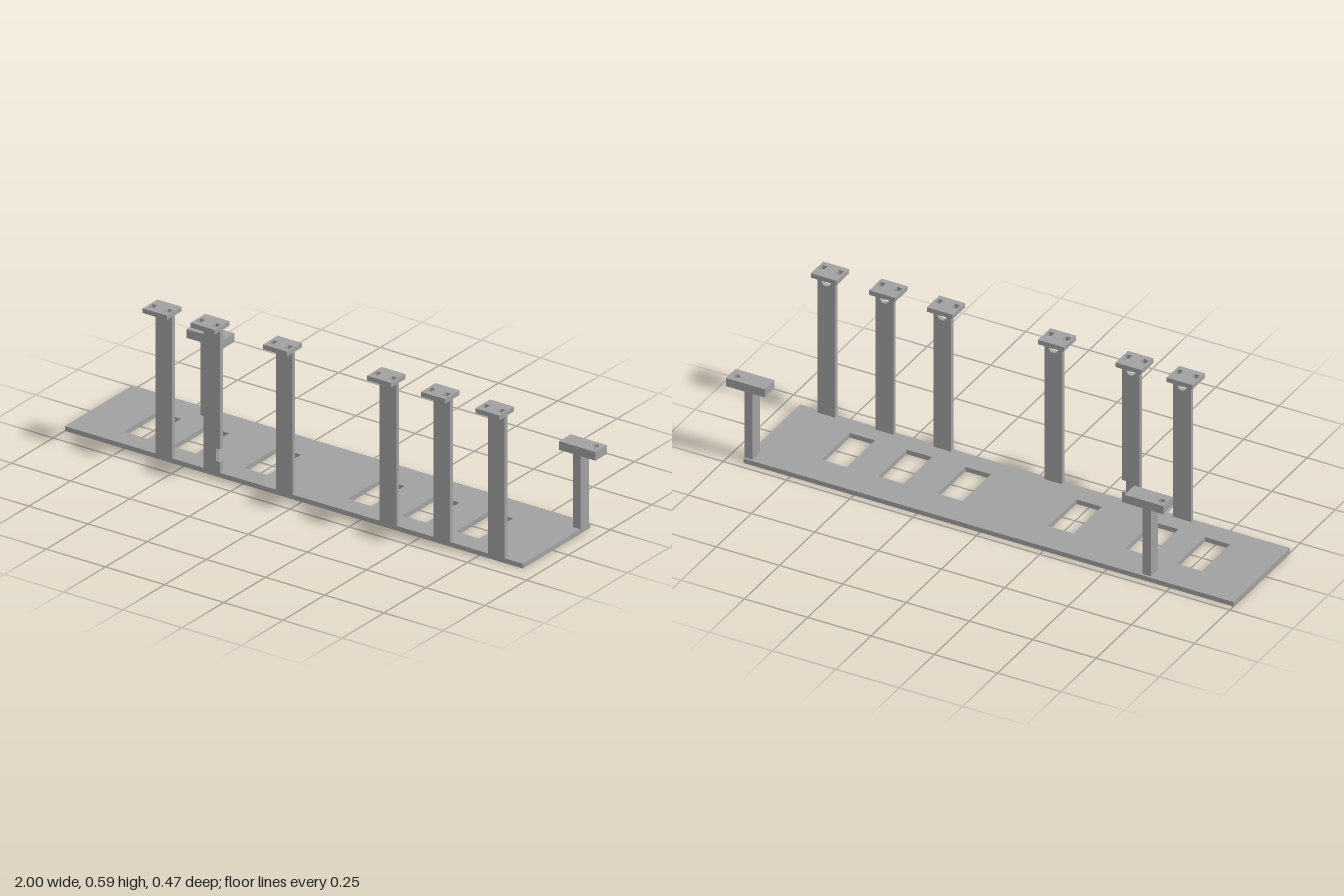
import * as THREE from 'three';

const T = 0.018; // sheet thickness

// Closed path around a rectangle
function rect(x0, y0, x1, y1, Type = THREE.Path) {
  const p = new Type();
  p.moveTo(x0, y0);
  p.lineTo(x1, y0);
  p.lineTo(x1, y1);
  p.lineTo(x0, y1);
  p.closePath();
  return p;
}

// Regular polygon or circle path
function ring(x, y, r, sides) {
  const pts = [];
  for (let i = 0; i < sides; i++) {
    const a = (i / sides) * Math.PI * 2;
    pts.push(new THREE.Vector2(x + r * Math.cos(a), y + r * Math.sin(a)));
  }
  return new THREE.Path(pts);
}

export function createModel() {
  const model = new THREE.Group();
  model.name = 'supportFrame';
  const grey = new THREE.MeshStandardMaterial({ color: 0xa0a0a0 });
  grey.name = 'plainGrey';

  function extrude(shape, depth) {
    return new THREE.ExtrudeGeometry(shape, { depth, bevelEnabled: false, curveSegments: 16 });
  }
  // Horizontal slab: shape coordinates are (x, -z)
  function slab(shape, y, depth) {
    return extrude(shape, depth).rotateX(-Math.PI / 2).translate(0, y, 0);
  }
  function add(name, geometry, parent = model) {
    const mesh = new THREE.Mesh(geometry, grey);
    mesh.name = name;
    parent.add(mesh);
    return mesh;
  }

  // Base plate with rectangular windows
  const base = rect(-1, -0.18, 0.935, 0.224, THREE.Shape);
  for (const x of [-0.757, -0.553, -0.25, 0.188, 0.42, 0.645]) {
    base.holes.push(rect(x - 0.05, -0.1, x + 0.05, 0.1));
  }
  add('basePlate', slab(base, 0, T));

  // Tall front posts, each with a cable opening under a slotted cap
  [-0.582, -0.38, -0.074, 0.365, 0.593, 0.823].forEach((x, i) => {
    const unit = new THREE.Group();
    unit.name = 'frontPost' + (i + 1);
    unit.position.x = x;
    model.add(unit);

    const w = 0.035, top = 0.57;
    const s = new THREE.Shape();
    s.moveTo(-w, T);
    s.lineTo(w, T);
    if (i === 1) { // side notch
      s.lineTo(w, 0.059);
      s.lineTo(w - 0.016, 0.059);
      s.lineTo(w - 0.016, 0.107);
      s.lineTo(w, 0.107);
    }
    s.lineTo(w, top);
    s.lineTo(0.018, top);
    s.lineTo(0.018, 0.559);
    s.absarc(0, 0.559, 0.018, 0, -Math.PI, true);
    s.lineTo(-0.018, top);
    s.lineTo(-w, top);
    s.closePath();
    add('post', extrude(s, 0.017).translate(0, 0, 0.163), unit);

    const cap = rect(-0.051, -0.234, 0.051, -0.146, THREE.Shape);
    for (const hx of [-0.033, 0.033]) {
      cap.holes.push(rect(hx - 0.01, -0.213, hx + 0.01, -0.186));
    }
    add('cap', slab(cap, top, T), unit);
  });

  // Short rear posts carrying an arm with a bolt hole and a nut pocket below
  const brackets = [
    { name: 'rightBracket', post: -0.653, arm: [-0.728, -0.574], hole: -0.705 },
    { name: 'leftBracket', post: 0.92, arm: [0.846, 1], hole: 0.972 },
  ];
  for (const b of brackets) {
    const unit = new THREE.Group();
    unit.name = b.name;
    model.add(unit);
    add('post', new THREE.BoxGeometry(0.032, 0.297 - T, 0.052)
      .translate(b.post, (0.297 + T) / 2, -0.189), unit);

    const layers = [
      ['armPocket', 0.297, 0.014, 0.022, 6],
      ['armTop', 0.311, 0.019, 0.012, 24],
    ];
    for (const [name, y, depth, r, sides] of layers) {
      const s = rect(b.arm[0], 0.163, b.arm[1], 0.232, THREE.Shape);
      s.holes.push(ring(b.hole, 0.204, r, sides));
      add(name, slab(s, y, depth), unit);
    }
  }
  return model;
}
